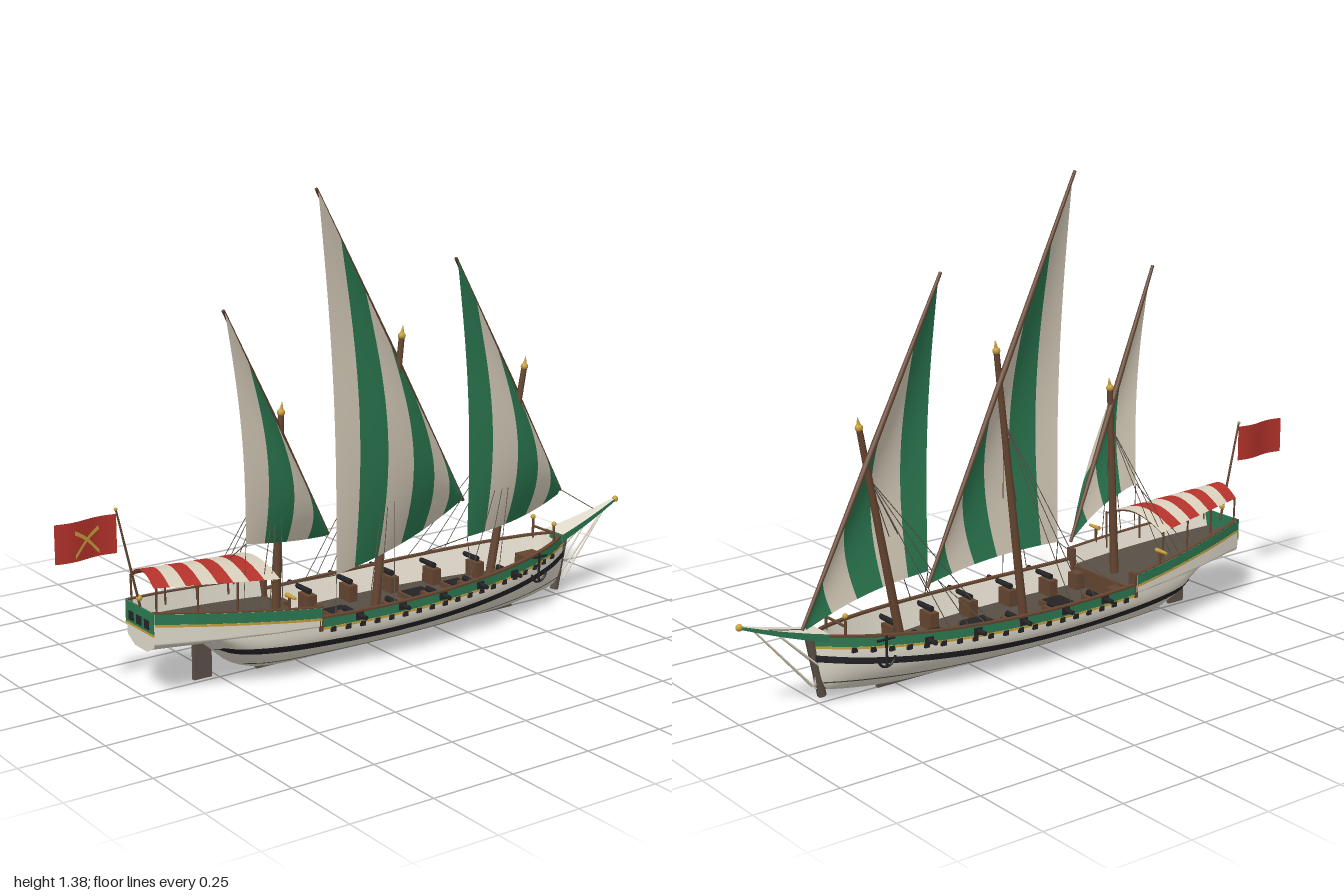
import * as THREE from 'three';

const mat = (name, color) => {
  const m = new THREE.MeshStandardMaterial({ color, side: THREE.DoubleSide });
  m.name = name;
  return m;
};
const M = {
  hull: mat('hull cream', 0xe2dccd), sail: mat('sail canvas', 0xd9cfbc), green: mat('green paint', 0x2c7a52),
  red: mat('red cloth', 0xb5322b), gold: mat('gold', 0xc9a03a), wood: mat('brown wood', 0x654530),
  black: mat('black iron', 0x242427), deck: mat('weathered deck', 0x574e45), rope: mat('dark timber', 0x5b5148),
};
const V = (x, y, z = 0) => new THREE.Vector3(x, y, z);
const lerp = THREE.MathUtils.lerp;

// smooth interpolation through a short table of [x, value]
function table(pts) {
  const slope = i => {
    const a = pts[Math.max(0, i - 1)], b = pts[Math.min(pts.length - 1, i + 1)];
    return (b[1] - a[1]) / (b[0] - a[0]);
  };
  return x => {
    let i = 0;
    while (i < pts.length - 2 && x > pts[i + 1][0]) i++;
    const h = pts[i + 1][0] - pts[i][0], t = THREE.MathUtils.clamp((x - pts[i][0]) / h, 0, 1), t2 = t * t, t3 = t2 * t;
    return (2 * t3 - 3 * t2 + 1) * pts[i][1] + (t3 - 2 * t2 + t) * h * slope(i)
      + (3 * t2 - 2 * t3) * pts[i + 1][1] + (t3 - t2) * h * slope(i + 1);
  };
}
const beam = table([[-0.75, 0.07], [-0.6, 0.108], [-0.4, 0.143], [-0.2, 0.16], [0, 0.167], [0.2, 0.161],
  [0.4, 0.137], [0.55, 0.104], [0.68, 0.058], [0.765, 0.01]]);
const keelY = table([[-0.57, 0.125], [-0.53, 0.09], [-0.47, 0.04], [-0.38, 0.012], [-0.2, 0.008], [0.4, 0.008],
  [0.56, 0.012], [0.72, 0.034], [0.765, 0.055]]);
const sheer = x => 0.165 + 0.06 * x * x;
const poopTop = x => 0.203 + (-0.26 - x) * 0.115;
const poopLow = x => 0.117 + (-0.26 - x) * 0.045;
const hullZ = (x, y) => {
  const t = Math.max(0, (y - keelY(x)) / (sheer(x) - keelY(x)));
  return beam(x) * Math.pow(Math.sin(Math.min(1, t / 0.75) * Math.PI / 2), 0.55);
};

// grid surface from a rule (u, v) -> point
function surface(fn, nu, nv) {
  const pos = [], idx = [];
  for (let i = 0; i <= nu; i++) for (let j = 0; j <= nv; j++) pos.push(...fn(i / nu, j / nv).toArray());
  for (let i = 0; i < nu; i++) for (let j = 0; j < nv; j++) {
    const a = i * (nv + 1) + j, b = a + nv + 1;
    idx.push(a, b, a + 1, b, b + 1, a + 1);
  }
  const g = new THREE.BufferGeometry();
  g.setAttribute('position', new THREE.Float32BufferAttribute(pos, 3));
  g.setIndex(idx);
  g.computeVertexNormals();
  return g;
}

export function createModel() {
  const ship = new THREE.Group();
  ship.name = 'sailingShip';
  const add = (name, geo, m, p) => {
    const mesh = new THREE.Mesh(geo, m);
    mesh.name = name;
    if (p) mesh.position.copy(p);
    ship.add(mesh);
    return mesh;
  };
  const box = (name, m, w, h, d, x, y, z = 0) => add(name, new THREE.BoxGeometry(w, h, d), m, V(x, y, z));
  const ball = (name, m, r, p) => add(name, new THREE.SphereGeometry(r, 10, 8), m, p);
  const rod = (name, m, a, b, r0, r1 = r0, sides = 8) => {
    const mesh = add(name, new THREE.CylinderGeometry(r1, r0, a.distanceTo(b), sides), m, a.clone().lerp(b, 0.5));
    mesh.quaternion.setFromUnitVectors(V(0, 1), b.clone().sub(a).normalize());
    return mesh;
  };
  const rope = (a, b) => rod('rope', M.rope, a, b, 0.0014, 0.0014, 4);
  const tube = (name, m, fn, r) => add(name, new THREE.TubeGeometry(new THREE.CatmullRomCurve3(
    Array.from({ length: 17 }, (_, i) => fn(i / 16))), 32, r, 6), m);
  const sides = fn => [1, -1].forEach(fn);
  // strip of side planking between two height rules, on both sides
  const band = (name, m, x0, x1, lo, hi, zf, nv = 2) => sides(s => add(name, surface((u, v) => {
    const x = lerp(x0, x1, u), y = lerp(lo(x), hi(x), v);
    return V(x, y, s * zf(x, y));
  }, 48, nv), m));
  // flat plank along the top of a side, on both sides
  const rail = (name, m, x0, x1, top, outer, width, h) => {
    const innerEdge = x => Math.max(0, outer(x) - width), upper = x => top(x) + h;
    sides(s => add(name, surface((u, v) => {
      const x = lerp(x0, x1, u);
      return V(x, upper(x), s * lerp(outer(x), innerEdge(x), v));
    }, 48, 1), m));
    [outer, innerEdge].forEach(edge => band(name, m, x0, x1, top, upper, edge, 1));
  };

  // hull, wales and painted bands
  const skin = off => (x, y) => hullZ(x, y) + off;
  sides(s => add('hull', surface((u, v) => {
    const x = lerp(-0.57, 0.765, u), y = lerp(keelY(x), sheer(x), v * v);
    return V(x, y, s * hullZ(x, y));
  }, 64, 16), M.hull));
  const wale = x => 0.085 + 0.09 * x * x, line = x => 0.043 + 0.035 * x * x;
  band('wale', M.black, -0.54, 0.765, x => wale(x) - 0.01, x => wale(x) + 0.01, skin(0.004));
  band('lowerWale', M.rope, -0.46, 0.75, x => line(x) - 0.002, x => line(x) + 0.002, skin(0.003));
  band('greenBand', M.green, -0.26, 0.765, x => sheer(x) - 0.026, sheer, skin(0.003));
  band('goldLine', M.gold, -0.26, 0.765, x => sheer(x) - 0.033, x => sheer(x) - 0.026, skin(0.004));
  box('keel', M.rope, 0.94, 0.014, 0.014, 0.09, 0.007);
  rod('stem', M.rope, V(0.74, 0.02), V(0.775, 0.205), 0.013, 0.015, 6);
  box('rudder', M.rope, 0.058, 0.135, 0.012, -0.558, 0.0775);

  // main deck and inner bulwarks
  const deckY = 0.098;
  const inner = x => Math.max(0.003, beam(x) - 0.03);
  add('mainDeck', surface((u, v) => { const x = lerp(-0.27, 0.75, u); return V(x, deckY, (2 * v - 1) * inner(x)); }, 32, 1), M.deck);
  band('innerBulwark', M.hull, -0.26, 0.75, () => deckY, sheer,
    (x, y) => lerp(inner(x), Math.max(0.004, beam(x) - 0.005), (y - deckY) / (sheer(x) - deckY)));
  rail('capRail', M.wood, -0.26, 0.765, sheer, x => beam(x) + 0.005, 0.014, 0.006);

  // raised stern
  const poopZ = off => x => beam(x) + 0.006 + off;
  const poopDeckY = x => poopTop(x) - 0.05;
  band('poopSide', M.hull, -0.75, -0.26, poopLow, poopTop,
    (x, y) => poopZ(0)(x) * Math.pow(Math.max(0, Math.min(1, (y - poopLow(x)) / 0.03)), 0.4), 32);
  band('poopGreenBand', M.green, -0.75, -0.26, x => poopTop(x) - 0.03, poopTop, poopZ(0.003));
  band('poopGoldLine', M.gold, -0.75, -0.26, x => poopTop(x) - 0.037, x => poopTop(x) - 0.03, poopZ(0.004));
  band('poopInnerSide', M.hull, -0.745, -0.265, poopDeckY, poopTop,
    (x, y) => beam(x) - 0.012 + (y - poopDeckY(x)) * 0.25);
  add('poopDeck', surface((u, v) => {
    const x = lerp(-0.748, -0.262, u); return V(x, poopDeckY(x), (2 * v - 1) * (beam(x) - 0.01));
  }, 24, 1), M.deck);
  rail('poopRail', M.wood, -0.75, -0.26, poopTop, x => beam(x) + 0.008, 0.012, 0.003);
  sides(s => {
    box('poopFrontPost', M.wood, 0.012, 0.075, 0.03, -0.26, 0.17, s * 0.147);
    box('ladder', M.wood, 0.035, 0.05, 0.04, -0.235, 0.125, s * 0.09);
  });
  box('poopBulkhead', M.wood, 0.008, 0.058, 0.29, -0.262, 0.127);
  // transom with windows
  const zt = beam(-0.75) + 0.006;
  add('transom', surface((u, v) => V(-0.75, lerp(0.139, 0.26, v), (2 * u - 1) * zt * Math.min(1, 0.45 + v * 3)), 2, 12), M.hull);
  box('transomGreenBand', M.green, 0.006, 0.06, zt * 2, -0.751, 0.23);
  box('transomGoldLine', M.gold, 0.007, 0.007, zt * 2, -0.751, 0.197);
  for (let i = -1; i <= 1; i++) box('sternWindow', M.black, 0.006, 0.026, 0.026, -0.753, 0.222, i * 0.043);
  ball('sternLantern', M.gold, 0.009, V(-0.752, 0.285));

  // gun ports, guns and anchors
  for (let x = -0.22; x < 0.7; x += 0.0495) sides(s =>
    box('gunPort', M.black, 0.016, 0.015, 0.008, x, sheer(x) - 0.035, s * (hullZ(x, sheer(x) - 0.035) + 0.002)));
  for (let i = 0; i < 5; i++) sides(s => {
    const x = -0.133 + i * 0.15, b = beam(x);
    rod('gunBarrel', M.black, V(x, 0.157, s * (b - 0.075)), V(x, 0.158, s * (b + 0.037)), 0.009, 0.007);
    box('gunCarriage', M.wood, 0.03, 0.05, 0.055, x, deckY + 0.025, s * (b - 0.062));
    box('portLid', M.black, 0.026, 0.022, 0.006, x, 0.156, s * (b + 0.004));
  });
  sides(s => {
    const z = s * (beam(0.59) + 0.008);
    rod('anchorShank', M.black, V(0.59, 0.1, z), V(0.59, 0.19, z), 0.004);
    rod('anchorStock', M.black, V(0.56, 0.18, z), V(0.62, 0.18, z), 0.004);
    const arms = add('anchorArms', new THREE.TorusGeometry(0.028, 0.004, 5, 12, Math.PI), M.black, V(0.59, 0.128, z));
    arms.rotation.z = Math.PI;
    // swivel guns and bow posts
    rod('swivelPost', M.wood, V(-0.36, 0.2, s * 0.15), V(-0.36, 0.252, s * 0.15), 0.004);
    rod('swivelGun', M.gold, V(-0.36, 0.255, s * 0.135), V(-0.36, 0.255, s * 0.18), 0.007, 0.0045);
    rod('bowPost', M.wood, V(0.69, 0.17, s * 0.05), V(0.69, 0.25, s * 0.05), 0.004);
    ball('bowFinial', M.gold, 0.008, V(0.69, 0.255, s * 0.05));
  });
  rod('bowRail', M.wood, V(0.69, 0.225, -0.05), V(0.69, 0.225, 0.05), 0.004);

  // deck fittings
  [[-0.09, 0.08], [0.2, 0.09], [0.35, 0.07]].forEach(([x, w]) => {
    box('hatchFrame', M.wood, w, 0.016, 0.085, x, deckY + 0.008);
    box('hatchGrating', M.black, w - 0.016, 0.004, 0.069, x, deckY + 0.017);
  });
  box('bowBlock', M.wood, 0.07, 0.055, 0.07, 0.64, 0.127);

  // beak: a box drawn out to a point, green on its sides only
  const beak = new THREE.BoxGeometry(0.25, 1, 1, 4, 1, 1), bp = beak.attributes.position;
  for (let i = 0; i < bp.count; i++) {
    const t = bp.getX(i) / 0.25 + 0.5;
    bp.setXYZ(i, lerp(0.735, 0.985, t), lerp(0.198, 0.273, t * (0.8 + 0.2 * t)) + bp.getY(i) * lerp(0.024, 0.009, t), bp.getZ(i) * lerp(0.085, 0.01, t));
  }
  beak.computeVertexNormals();
  add('beak', beak, [M.green, M.green, M.hull, M.hull, M.green, M.green]);
  ball('beakTip', M.gold, 0.01, V(0.99, 0.275));
  sides(s => {
    rod('bowStay', M.sail, V(0.95, 0.26), V(0.765, 0.05, s * 0.012), 0.0028, 0.0028, 6);
    rod('bowStay', M.sail, V(0.88, 0.235), V(0.76, 0.12, s * 0.02), 0.0028, 0.0028, 6);
  });

  // masts with lateen yards, striped sails and rigging
  const rigs = [
    { foot: V(-0.31, 0.14), top: V(-0.285, 0.74), peak: V(-0.52, 1.07, 0.09), heel: V(-0.07, 0.325, -0.078), clew: V(-0.447, 0.4, 0.065), tack: V(-0.085, 0.325, -0.072), n: 4, first: 0, belly: 0.045, bases: [-0.45, -0.42, -0.38], hitch: 0.8 },
    { foot: V(0.04, 0.09), top: V(0.135, 0.91), peak: V(-0.235, 1.377, 0.115), heel: V(0.485, 0.32, -0.142), clew: V(-0.16, 0.262, 0.09), tack: V(0.47, 0.325, -0.137), n: 6, first: 0, belly: 0.07, bases: [-0.1, -0.06, -0.01], hitch: 0.75 },
    { foot: V(0.47, 0.09), top: V(0.6, 0.76), peak: V(0.265, 1.137, 0.09), heel: V(0.885, 0.288, -0.142), clew: V(0.337, 0.28, 0.062), tack: V(0.865, 0.28, -0.135), n: 5, first: 1, belly: 0.065, bases: [0.27, 0.34, 0.4], hitch: 0.78 },
  ];
  rigs.forEach(r => {
    rod('mast', M.wood, r.foot, r.top, 0.014, 0.009, 10);
    ball('mastCap', M.gold, 0.0115, r.top);
    rod('mastFinial', M.gold, r.top, r.top.clone().add(V(0.004, 0.03)), 0.008, 0.001);
    // yard tapers to both ends
    const mid = r.peak.clone().lerp(r.heel, 0.5), back = V(0, 0, -0.006);
    [r.peak, r.heel].forEach(end => rod('yard', M.wood, mid.clone().add(back), end.clone().add(back), 0.009, 0.005));
    const normal = V(r.peak.z - r.heel.z, 0, r.heel.x - r.peak.x).normalize();
    // stripes crowd towards the leech, more so along the foot
    const sailPoint = (t, v) => {
      const u = Math.pow(t, 1.1), f = Math.pow(t, 1.25);
      const p = r.peak.clone().lerp(r.heel, lerp(0.005, 0.985, u)).lerp(r.clew.clone().lerp(r.tack, f), v);
      return p.addScaledVector(normal, 0.02 * Math.sin(Math.PI * v) * (1 - u) + r.belly * Math.sin(Math.PI * u) * Math.sin(Math.PI * v * 0.84));
    };
    for (let i = 0; i < r.n; i++)
      add('sailStripe', surface((u, v) => sailPoint((i + u) / r.n, v), 6, 20), (i + r.first) % 2 ? M.green : M.sail);
    // shrouds and sheets
    const hitch = r.foot.clone().lerp(r.top, r.hitch);
    sides(s => r.bases.forEach(x => {
      const y = x < -0.26 ? poopTop(x) : sheer(x);
      rope(V(x, y, s * beam(x)), hitch);
    }));
    const sx = r.clew.x - 0.05;
    sides(s => rope(r.clew, V(sx, sx < -0.26 ? poopTop(sx) : sheer(sx), s * beam(sx))));
  });
  rope(rigs[2].heel, V(0.91, 0.25));

  // striped awning on posts and hoops
  const aw = x => lerp(0.07, 0.135, (x + 0.745) / 0.365), ay = x => lerp(0.33, 0.304, (x + 0.745) / 0.365);
  const awning = (x, v, drop) => V(x, ay(x) + 0.035 * Math.cos(v * Math.PI / 2) - drop, v * aw(x));
  for (let i = 0; i < 8; i++)
    add('awningStripe', surface((u, v) => awning(-0.745 + (i + u) * 0.0456, 2 * v - 1, 0), 1, 16), i % 2 ? M.sail : M.red);
  [-0.738, -0.62, -0.505, -0.388].forEach(x => {
    tube('awningHoop', M.wood, t => awning(x, 2 * t - 1, 0.005), 0.003);
    sides(s => rod('awningPost', M.wood, V(x, poopTop(x) - 0.03, s * (aw(x) - 0.003)), V(x, ay(x), s * aw(x)), 0.003, 0.003, 6));
  });

  // flag with crossed blades on its front
  rod('flagPole', M.wood, V(-0.745, 0.24), V(-0.815, 0.545), 0.004, 0.003);
  ball('flagPoleTip', M.gold, 0.005, V(-0.816, 0.548));
  const flagZ = x => 0.007 * Math.sin((x + 0.815) * 34);
  add('flag', surface((u, v) => { const x = lerp(-0.815, -1, u); return V(x, lerp(0.425, 0.535, v), flagZ(x)); }, 16, 1), M.red);
  sides(s => {
    const blade = (t, w) => {
      const x = -0.905 + s * (t - 0.5) * 0.078;
      return V(x, 0.432 + t * 0.068 + 0.008 * Math.sin(t * Math.PI) + w * 0.012, flagZ(x) + 0.003);
    };
    add('flagBlade', surface(blade, 10, 1), M.gold);
  });
  return ship;
}
